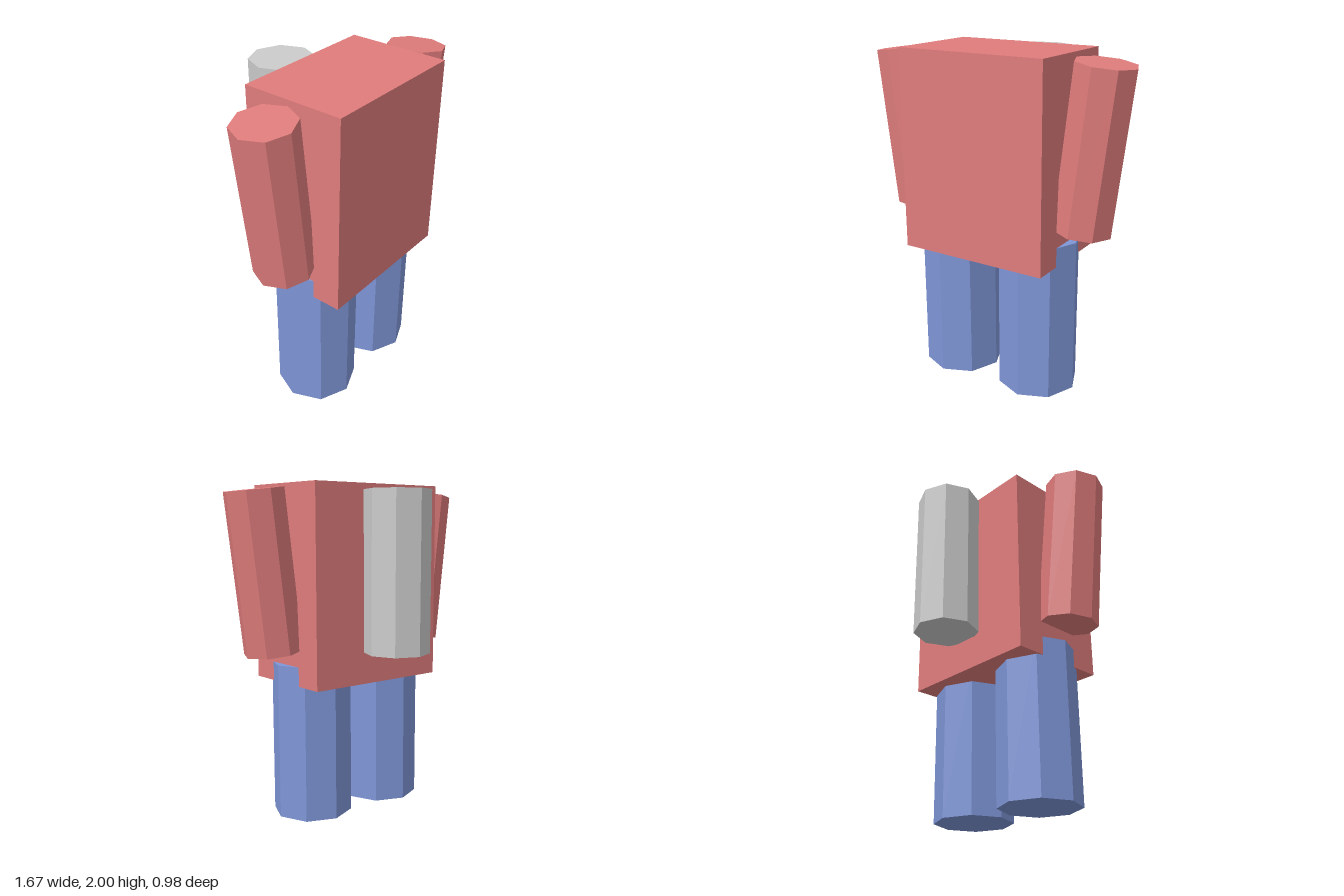
import * as THREE from 'three';

const material = (color) => new THREE.MeshStandardMaterial({ color, flatShading: true });

export function createModel() {
  const model = new THREE.Group();
  const red = material(0xe07c7c);
  const blue = material(0x7f96d8);
  const grey = material(0xcccccc);

  const add = (name, geometry, mat, x, y, z) => {
    const mesh = new THREE.Mesh(geometry, mat);
    mesh.name = name;
    mesh.position.set(x, y, z);
    model.add(mesh);
    return mesh;
  };

  // Every rounded part is an eight-sided prism of the same length
  const prism = (radius) => new THREE.CylinderGeometry(radius, radius, 0.94, 8);

  // Block torso
  add('torso', new THREE.BoxGeometry(0.924, 1.175, 0.622), red, 0, 1.4125, 0.175);

  // Mirrored legs and outward-leaning arms
  for (const [label, side] of [['left', 1], ['right', -1]]) {
    add(label + 'Leg', prism(0.242), blue, side * 0.275, 0.47, 0.178);
    const arm = add(label + 'Arm', prism(0.176), red, side * 0.605, 1.492, 0.175);
    arm.rotation.z = -side * 0.118;
  }

  // Tank on the back
  add('backTank', prism(0.194), grey, 0, 1.492, -0.296);

  return model;
}
